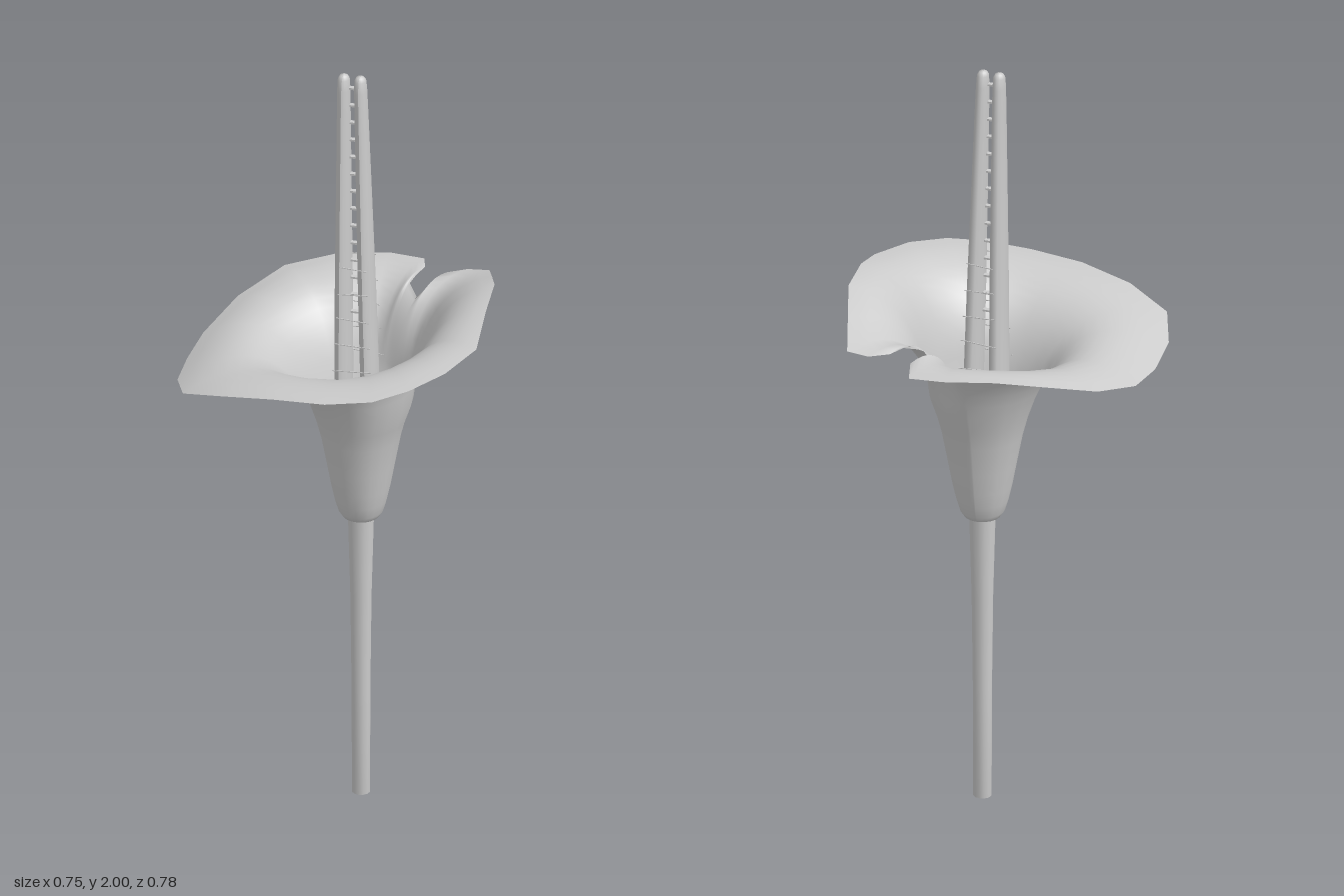
import * as THREE from 'three';

const CX = 0.04, CZ = -0.028; // axis of the flower

export function createModel() {
  const group = new THREE.Group();
  const material = new THREE.MeshStandardMaterial({ color: 0xcccccc, side: THREE.DoubleSide });
  const add = (name, geometry, parent = group) => {
    const mesh = new THREE.Mesh(geometry, material);
    mesh.name = name;
    parent.add(mesh);
    return mesh;
  };
  const lathe = (points, sides) =>
    new THREE.LatheGeometry(points.map((p) => new THREE.Vector2(...p)), sides);

  // stem, widening towards the flower
  add('stem', lathe([[0.001, 0], [0.023, 0], [0.024, 0.3], [0.027, 0.55], [0.033, 0.77]], 12))
    .position.set(CX, 0, CZ);

  // wavy rim of the petal (x, y, z), with a notch at the back
  const rim = [
    [0.10, 1.31, -0.39], [0.01, 1.315, -0.388], [-0.11, 1.315, -0.35], [-0.23, 1.295, -0.29],
    [-0.32, 1.25, -0.185], [-0.37, 1.21, -0.05], [-0.377, 1.2, 0.07], [-0.365, 1.21, 0.20],
    [-0.32, 1.235, 0.31], [-0.205, 1.27, 0.36], [-0.07, 1.293, 0.383], [0.065, 1.302, 0.39],
    [0.18, 1.315, 0.37], [0.26, 1.332, 0.32], [0.33, 1.348, 0.237], [0.377, 1.362, 0.12],
    [0.365, 1.4, -0.01], [0.35, 1.405, -0.14], [0.315, 1.37, -0.24], [0.28, 1.33, -0.34],
    [0.225, 1.325, -0.34], [0.18, 1.325, -0.31], [0.163, 1.32, -0.257], [0.13, 1.3, -0.213],
    [0.10, 1.31, -0.257], [0.106, 1.315, -0.295], [0.118, 1.32, -0.33],
  ];
  const n = rim.length, notchStart = 19;
  // direction of each column in the cup; the notch columns are spread evenly
  const angles = rim.map(([x, , z], i) => {
    if (i > 0 && i < notchStart) return Math.atan2(z - CZ, x - CX);
    const t = ((i || n) - notchStart) / (n - notchStart);
    return THREE.MathUtils.degToRad(-45 - 47 * t);
  });
  const cupPoint = (r, y, a) => new THREE.Vector3(CX + r * Math.cos(a), y, CZ + r * Math.sin(a));

  // round cup below the flare (radius, y)
  const cup = [[0.031, 0.768], [0.046, 0.775], [0.056, 0.79], [0.065, 0.82], [0.074, 0.86],
    [0.085, 0.92], [0.1, 1.0], [0.113, 1.05], [0.13, 1.1]];
  const flareSteps = 12;
  const positions = [], indices = [];
  for (const [r, y] of cup) {
    for (const a of angles) positions.push(...cupPoint(r, y, a).toArray());
  }
  // flare: every column curves from the cup out to its rim point
  const columns = rim.map((p, i) => {
    const end = new THREE.Vector3(...p);
    const start = cupPoint(0.13, 1.1, angles[i]);
    const bend = start.clone().lerp(end, Math.min(0.3, 0.27 - 0.38 * end.x));
    const reach = Math.hypot(end.x - CX, end.z - CZ);
    bend.y = Math.min(1.34 + Math.max(0, 0.12 * end.x), end.y - 0.05 + (reach - 0.2) * 0.9);
    return new THREE.QuadraticBezierCurve3(start, bend, end);
  });
  for (let i = 1; i <= flareSteps; i++) {
    for (const c of columns) positions.push(...c.getPoint(i / flareSteps).toArray());
  }
  for (let i = 0; i < cup.length + flareSteps - 1; i++) {
    for (let j = 0; j < n; j++) {
      const a = i * n + j, b = i * n + (j + 1) % n;
      indices.push(a, b, b + n, a, b + n, a + n);
    }
  }
  const petal = new THREE.BufferGeometry();
  petal.setAttribute('position', new THREE.Float32BufferAttribute(positions, 3));
  petal.setIndex(indices);
  petal.computeVertexNormals();
  add('petal', petal);

  // spike: two flattened, tapering halves side by side, blunt at the top
  const spike = new THREE.Group();
  spike.name = 'spike';
  group.add(spike);
  const profile = [[0.001, 0.84], [0.035, 0.86], [0.046, 0.95], [0.047, 1.2], [0.044, 1.4],
    [0.036, 1.65], [0.028, 1.88], [0.024, 1.96], [0.018, 1.988], [0.01, 1.997], [0.001, 2]];
  const halves = [
    { name: 'spikeLeftHalf', axis: (y) => 0.057 - 0.029 * (y - 1.35) },
    { name: 'spikeRightHalf', axis: () => -0.004 },
  ];
  for (const { name, axis } of halves) {
    const g = lathe(profile, 14);
    const p = g.attributes.position;
    for (let i = 0; i < p.count; i++) {
      const x = p.getX(i), y = p.getY(i), r = Math.hypot(x, p.getZ(i));
      p.setX(i, axis(y) + x * Math.min(1, 0.2 + 0.011 / r));
      p.setZ(i, p.getZ(i) + CZ);
    }
    g.computeVertexNormals();
    add(name, g, spike);
  }

  // thin rungs bridging the two halves
  for (let i = 0; i < 14; i++) {
    const y = 1.34 + i * 0.048;
    const rung = add('rung', new THREE.BoxGeometry(0.03, 0.005, 0.012), spike);
    rung.position.set(0.024 - 0.012 * (y - 1.35), y, CZ);
  }
  // fine hairs across the front and back of the lower spike
  for (let i = 0; i < 5; i++) {
    for (const side of [-1, 1]) {
      const hair = add('hair', new THREE.BoxGeometry(0.1 - i * 0.008, 0.002, 0.002), spike);
      hair.position.set(0.032, 1.2 + i * 0.07, CZ + side * (0.056 - i * 0.003));
      hair.rotation.z = 0.08 * Math.sin(i * 2.3 + side);
    }
  }
  return group;
}
